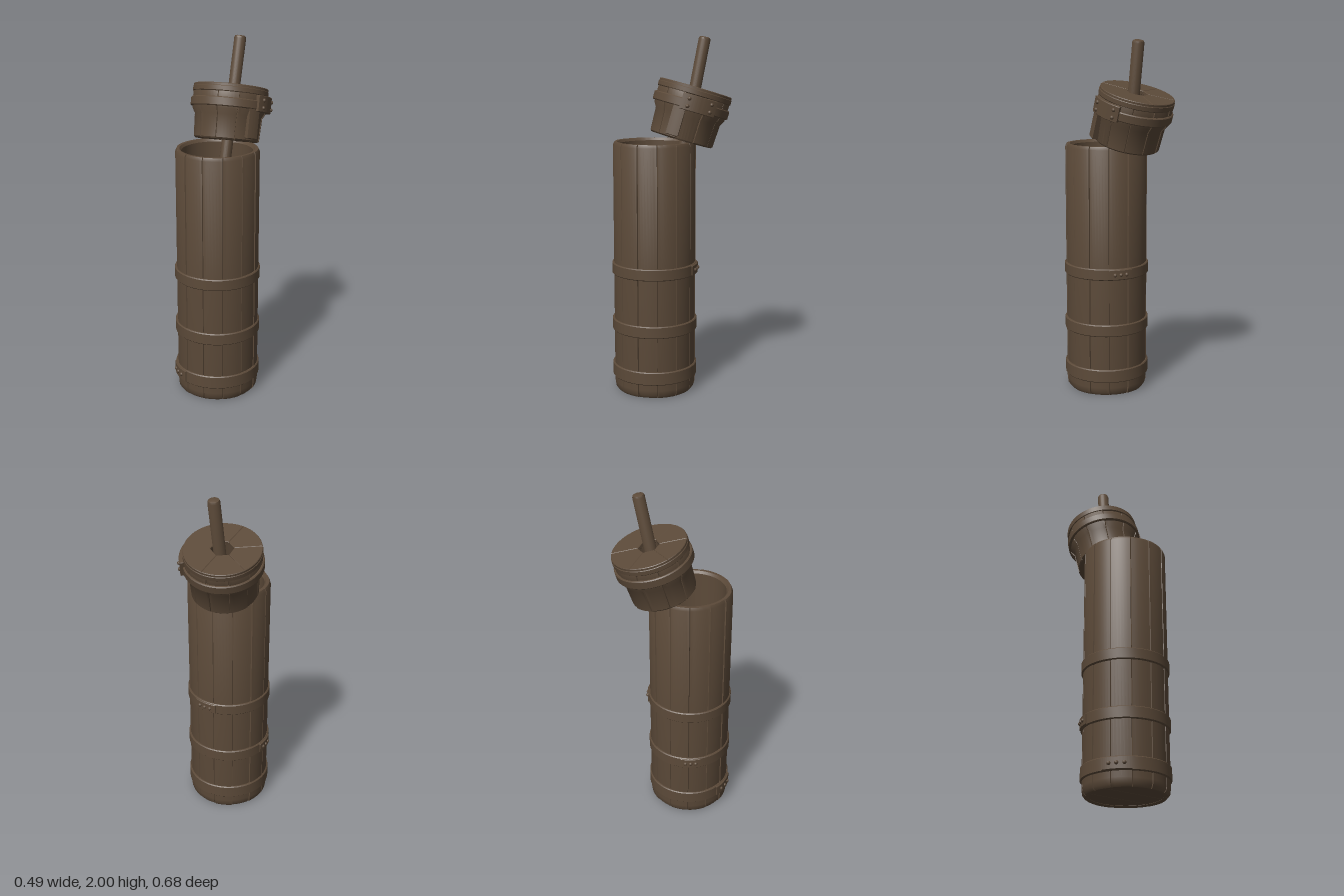
import * as THREE from 'three';
import { toCreasedNormals } from 'three/addons/utils/BufferGeometryUtils.js';

const wood = new THREE.MeshStandardMaterial({ color: 0x5c4a39 });
wood.name = 'dark brown wood';

function add(parent, name, geometry, crease = 0.6) {
  const mesh = new THREE.Mesh(crease ? toCreasedNormals(geometry, crease) : geometry, wood);
  mesh.name = name;
  parent.add(mesh);
  return mesh;
}

const profile = (pts) => pts.map(([r, y]) => new THREE.Vector2(r, y));

// Turned wall divided into staves by narrow grooves on the faces beyond grooveFrom
function staveWall(pts, count, grooveFrom) {
  const steps = [0, 0.025, 0.18, 0.34, 0.5, 0.66, 0.82, 0.975];
  const geo = new THREE.LatheGeometry(profile(pts), count * 8);
  const pos = geo.attributes.position;
  for (let i = 0; i < pos.count; i++) {
    const column = Math.floor(i / pts.length);
    const stave = Math.floor(column / 8) % count;
    const [radius, y] = pts[i % pts.length];
    let r = radius;
    if (r > grooveFrom) r += column % 8 === 0 ? -0.007 : 0.002 * Math.sin(stave * 2.4);
    const a = ((stave + steps[column % 8]) / count) * Math.PI * 2;
    pos.setXYZ(i, Math.sin(a) * r, y, Math.cos(a) * r);
  }
  return geo;
}

// Closed hoop with softened outer edges
function hoop(inner, outer, y0, y1) {
  const e = 0.005;
  return new THREE.LatheGeometry(profile([
    [inner, y0], [outer - e, y0], [outer, y0 + e],
    [outer, y1 - e], [outer - e, y1], [inner, y1], [inner, y0]]), 72);
}

// Lays a flat shape horizontally with its upper face at the given height
function slab(shape, top, thick, bevel = 0.003) {
  const geo = new THREE.ExtrudeGeometry(shape, {
    depth: thick - 2 * bevel, curveSegments: 24, bevelSegments: 1,
    bevelSize: bevel, bevelThickness: bevel, bevelOffset: -bevel });
  return geo.rotateX(Math.PI / 2).translate(0, top - bevel, 0);
}

// Curved plate that wraps part of a wall, angles in degrees from +x toward +z
function wrapPlate(r0, r1, from, to, y0, y1) {
  const a = THREE.MathUtils.degToRad(from), b = THREE.MathUtils.degToRad(to);
  const s = new THREE.Shape();
  s.absarc(0, 0, r1, a, b, false);
  s.absarc(0, 0, r0, b, a, true);
  return slab(s, y1, y1 - y0);
}

function rivets(parent, r, y, angles, size) {
  for (const deg of angles) {
    const a = THREE.MathUtils.degToRad(deg);
    add(parent, 'rivet', new THREE.SphereGeometry(size, 10, 8), 0)
      .position.set(Math.cos(a) * r, y, Math.sin(a) * r);
  }
}

// Board cut from a disc between two straight seams
function discBoard(radius, z0, z1) {
  const s = new THREE.Shape();
  const a = Math.asin(z0 / radius), b = Math.asin(z1 / radius);
  s.absarc(0, 0, radius, a, b, false);
  s.absarc(0, 0, radius, Math.PI - b, Math.PI - a, false);
  return s;
}

function buildBarrel() {
  const barrel = new THREE.Group();
  barrel.name = 'barrel';
  barrel.position.set(-0.002, 0, 0.1);

  add(barrel, 'staves', staveWall([
    [0.195, 0.006], [0.216, 0], [0.227, 0.015], [0.231, 0.045], [0.231, 0.7], [0.231, 1.41],
    [0.223, 1.427], [0.206, 1.427], [0.196, 1.413], [0.194, 0.7], [0.195, 0.006]], 13, 0.215));

  // Floor boards
  for (const [z0, z1] of [[-0.199, -0.065], [-0.065, 0.065], [0.065, 0.199]])
    add(barrel, 'floorBoard', slab(discBoard(0.2, z0, z1), 0.09, 0.082));

  // Hoops with riveted overlaps
  const hoops = [
    [0.08, 0.155, 118, 156], [0.352, 0.42, 184, 212], [0.68, 0.745, -80, -48]];
  for (const [y0, y1, from, to] of hoops) {
    add(barrel, 'hoop', hoop(0.222, 0.241, y0, y1));
    add(barrel, 'hoopOverlap', wrapPlate(0.235, 0.247, from, to, y0 + 0.004, y1 - 0.004));
    const step = (to - from) / 4;
    rivets(barrel, 0.246, (y0 + y1) / 2, [1, 2, 3].map((k) => from + k * step), 0.011);
  }
  return barrel;
}

function buildLid() {
  const lid = new THREE.Group();
  lid.name = 'lid';
  lid.position.set(-0.005, 1.72, -0.14);
  lid.rotation.x = -0.29;

  add(lid, 'lidStaves', staveWall([
    [0.062, -0.3], [0.174, -0.3], [0.182, -0.292], [0.188, -0.165], [0.205, -0.135],
    [0.207, -0.03], [0.2, -0.015], [0.062, -0.015], [0.062, -0.3]], 11, 0.18));
  add(lid, 'lidRim', hoop(0.19, 0.211, -0.045, -0.012));
  add(lid, 'lidBand', hoop(0.195, 0.217, -0.125, -0.075));

  // Wedge boards around the handle opening
  const seams = [-67, -132, -191, -246, -299, -427].map(THREE.MathUtils.degToRad);
  for (let i = 0; i < 5; i++) {
    const a = seams[i], b = seams[i + 1];
    const s = new THREE.Shape();
    s.absarc(0, 0, 0.208, a, b, true);
    s.lineTo(Math.cos(b) * 0.06, Math.sin(b) * 0.06);
    if (i === 4) s.lineTo(Math.cos((a + b) / 2) * 0.066, Math.sin((a + b) / 2) * 0.066);
    s.lineTo(Math.cos(a) * 0.06, Math.sin(a) * 0.06);
    add(lid, 'lidBoard', slab(s, 0, 0.022, 0.003));
  }

  // Side clasp with a hanging strap
  add(lid, 'clasp', wrapPlate(0.2, 0.232, -22, 28, -0.135, -0.045));
  add(lid, 'claspStrap', wrapPlate(0.18, 0.213, 20, 39, -0.285, -0.1));
  rivets(lid, 0.231, -0.07, [-14, 18], 0.011);
  rivets(lid, 0.231, -0.112, [-14, 18], 0.011);
  return lid;
}

function buildPlunger(parent) {
  // Slanted plunger stick running through the lid to the floor
  const low = new THREE.Vector3(-0.095, 0.09, 0.163);
  const high = new THREE.Vector3(0.034, 2.0, -0.18);
  const dir = high.clone().sub(low);
  const len = dir.length(), r = 0.033, e = 0.014;
  const stick = add(parent, 'plungerStick', new THREE.LatheGeometry(profile([
    [0, 0], [r - e, 0], [r - 0.004, 0.004], [r, e],
    [r, len - e], [r - 0.004, len - 0.004], [r - e, len], [0, len]]), 20), 0.8);
  stick.position.copy(low);
  stick.quaternion.setFromUnitVectors(new THREE.Vector3(0, 1, 0), dir.normalize());
}

export function createModel() {
  const churn = new THREE.Group();
  churn.name = 'butterChurn';
  churn.add(buildBarrel(), buildLid());
  buildPlunger(churn);
  return churn;
}
